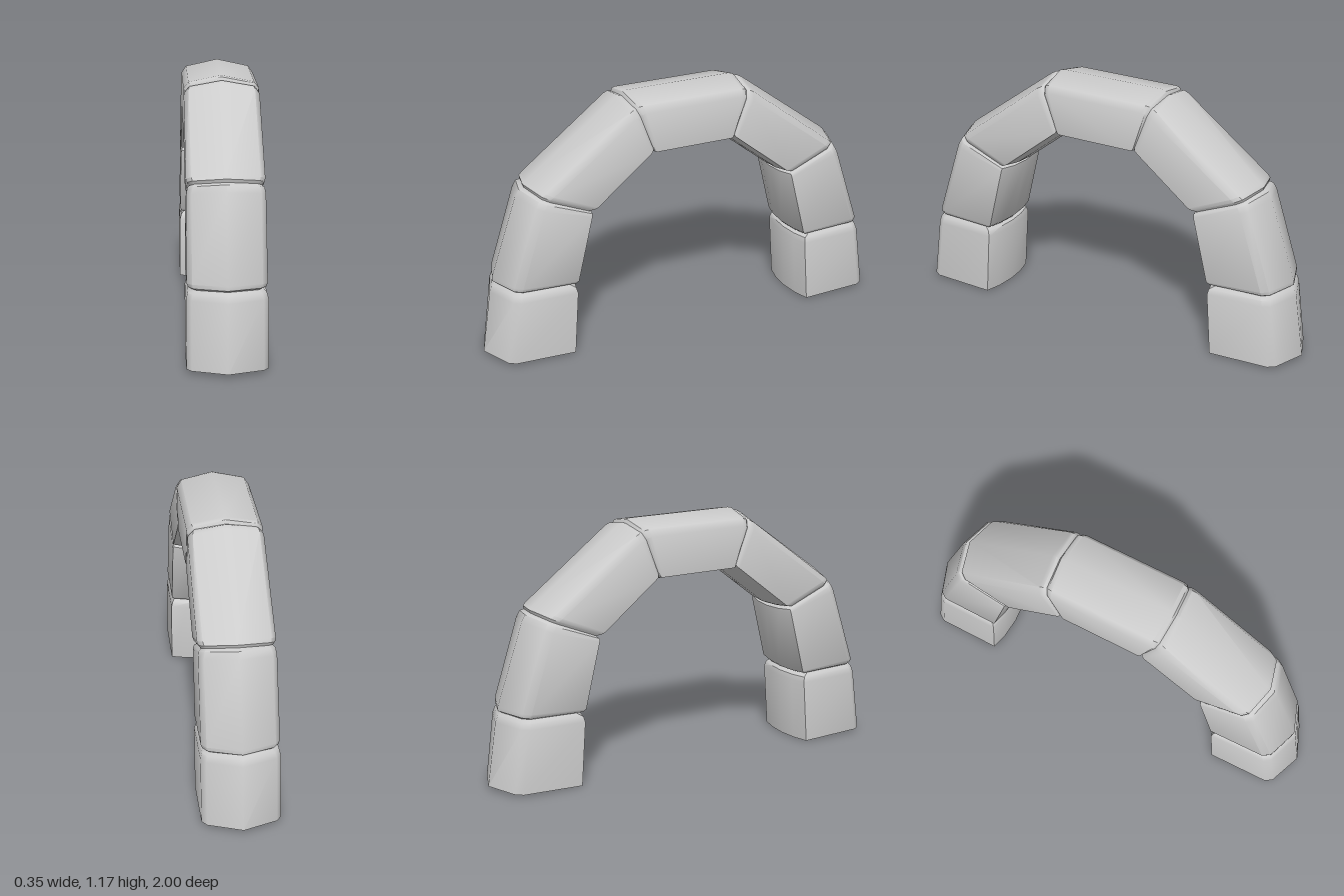
import * as THREE from 'three';
import { toCreasedNormals } from 'three/addons/utils/BufferGeometryUtils.js';

// Stations from the front foot to the crown: outer z, outer y, inner z, inner y, half width
const HALF = [
  // foot block
  [1.0, 0.015, 0.587, 0.0, 0.175],
  [0.957, 0.31, 0.567, 0.3, 0.175],
  [0.945, 0.337, 0.573, 0.325, 0.168],
  [0.925, 0.352, 0.6, 0.342, 0.152], // groove
  // leg block
  [0.943, 0.362, 0.572, 0.346, 0.165],
  [0.943, 0.38, 0.56, 0.358, 0.172],
  [0.815, 0.755, 0.488, 0.652, 0.17],
  [0.797, 0.785, 0.486, 0.665, 0.165],
  [0.772, 0.79, 0.5, 0.677, 0.155], // groove
  // shoulder block
  [0.778, 0.806, 0.478, 0.682, 0.165],
  [0.763, 0.82, 0.46, 0.69, 0.17],
  [0.325, 1.143, 0.21, 0.885, 0.17],
  [0.305, 1.153, 0.2, 0.893, 0.167],
  [0.288, 1.148, 0.196, 0.905, 0.16], // groove
  // half of the crown block
  [0.28, 1.165, 0.19, 0.893, 0.167],
  [0.26, 1.17, 0.18, 0.89, 0.17],
];

// Cross-section: ridged outer side, chamfered edges, slightly bowed inner side
function ring([oz, oy, iz, iy, w]) {
  const outer = new THREE.Vector3(0, oy, oz);
  const inner = new THREE.Vector3(0, iy, iz);
  const depth = outer.distanceTo(inner);
  const slope = 0.23 * (depth - 0.15);
  const side = [
    [w - 0.022, slope],
    [w, slope + 0.032],
    [w, depth - 0.028],
    [w * 0.55, depth - 0.008],
  ];
  const mirrored = side.map(([x, t]) => [-x, t]).reverse();
  return [[0, 0], ...side, [0, depth], ...mirrored].map(([x, t]) => {
    const p = outer.clone().lerp(inner, t / depth);
    p.x = x;
    return p;
  });
}

// Skin a row of rings, optionally closing the first or last one
function loft(rings, capStart, capEnd) {
  const pos = [];
  const tri = (...pts) => pts.forEach((p) => pos.push(p.x, p.y, p.z));
  const n = rings[0].length;
  const middle = (r) => r.reduce((s, p) => s.add(p), new THREE.Vector3()).divideScalar(n);
  const last = rings[rings.length - 1];
  for (let j = 0; j < n; j++) {
    const k = (j + 1) % n;
    for (let i = 0; i < rings.length - 1; i++) {
      const a = rings[i], b = rings[i + 1];
      tri(a[j], a[k], b[k]);
      tri(a[j], b[k], b[j]);
    }
    if (capStart) tri(middle(rings[0]), rings[0][k], rings[0][j]);
    if (capEnd) tri(middle(last), last[j], last[k]);
  }
  const geometry = new THREE.BufferGeometry();
  geometry.setAttribute('position', new THREE.Float32BufferAttribute(pos, 3));
  return toCreasedNormals(geometry, 0.75);
}

export function createModel() {
  const group = new THREE.Group();
  group.name = 'stoneArch';
  const material = new THREE.MeshStandardMaterial({ color: 0xcccccc });

  // Mirror the front half to the back
  const back = HALF.map(([oz, oy, iz, iy, w]) => [-oz, oy, -iz, iy, w]).reverse();
  const rings = [...HALF, ...back].map(ring);

  // Each block runs from one groove to the next
  const end = rings.length - 1;
  const cuts = [0, 3, 8, 13, end - 13, end - 8, end - 3, end];
  const names = ['frontFootBlock', 'frontLegBlock', 'frontShoulderBlock', 'crownBlock',
    'backShoulderBlock', 'backLegBlock', 'backFootBlock'];
  names.forEach((name, i) => {
    const part = rings.slice(cuts[i], cuts[i + 1] + 1);
    const mesh = new THREE.Mesh(loft(part, i === 0, i === names.length - 1), material);
    mesh.name = name;
    group.add(mesh);
  });
  return group;
}
